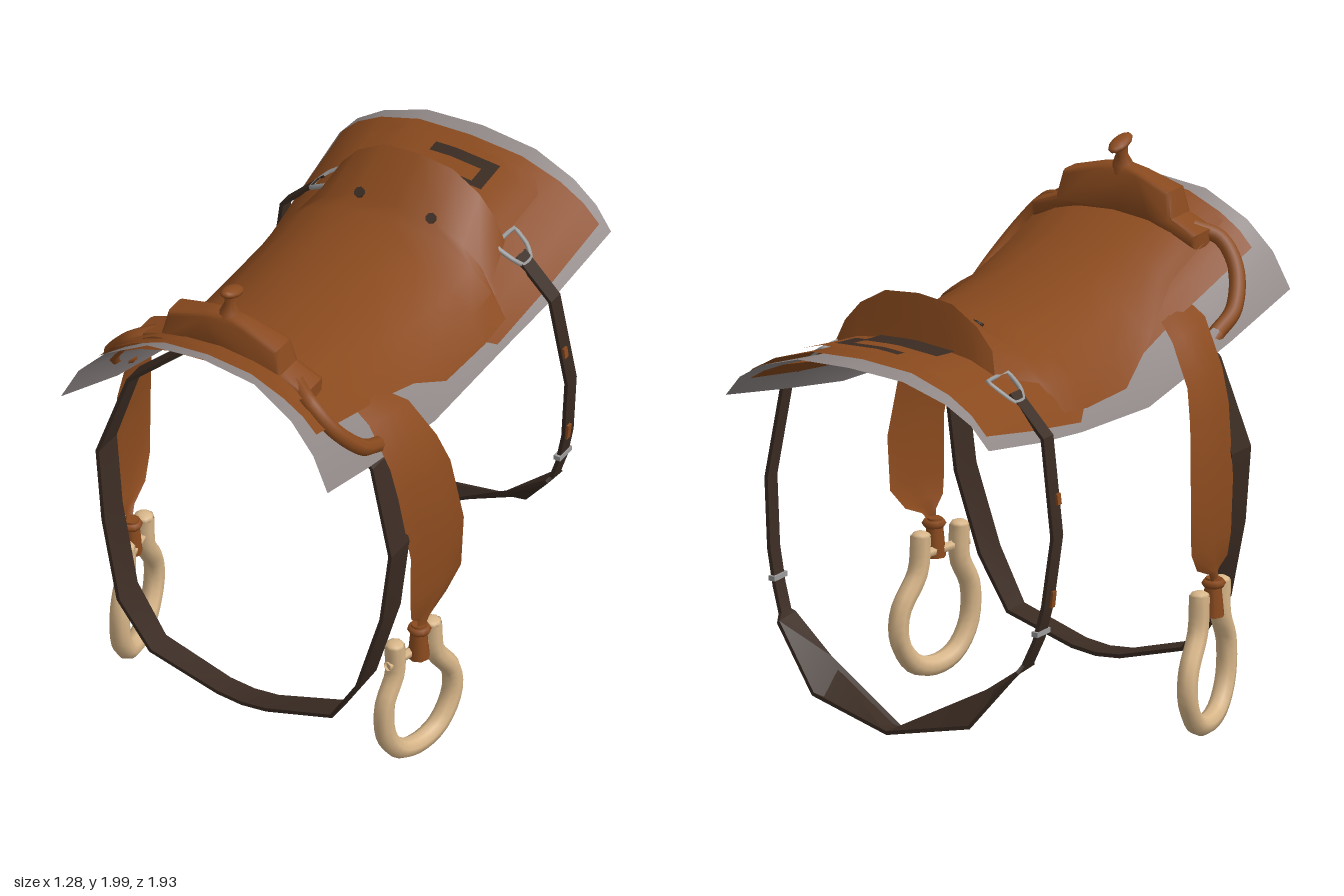
import * as THREE from 'three';
import { toCreasedNormals } from 'three/addons/utils/BufferGeometryUtils.js';

const mat = (name, color) => new THREE.MeshStandardMaterial({ name, color, side: THREE.DoubleSide });

// Surface through a grid of points: fn(i, j) returns [x, y, z]
function grid(nu, nv, fn, crease = 0.7) {
  const pos = [], idx = [];
  for (let j = 0; j <= nv; j++) for (let i = 0; i <= nu; i++) pos.push(...fn(i, j));
  for (let j = 0; j < nv; j++) for (let i = 0; i < nu; i++) {
    const a = j * (nu + 1) + i, b = a + nu + 1;
    idx.push(a, a + 1, b, a + 1, b + 1, b);
  }
  const g = new THREE.BufferGeometry();
  g.setAttribute('position', new THREE.Float32BufferAttribute(pos, 3));
  g.setIndex(idx);
  return toCreasedNormals(g, crease);
}

// Linear lookup in rows sorted by descending first value
function lookup(rows, z) {
  let k = 0;
  while (k < rows.length - 2 && z < rows[k + 1][0]) k++;
  const a = rows[k], b = rows[k + 1];
  const f = THREE.MathUtils.clamp((z - a[0]) / (b[0] - a[0]), 0, 1);
  return a.map((v, i) => v + (b[i] - v) * f);
}

// Arch across the horse's back: [fraction of half width, fraction of drop]
const ARCH = [[1, 1], [0.88, 0.62], [0.7, 0.32], [0.4, 0.06], [0, 0]];
const archDrop = t => lookup(ARCH, Math.min(Math.abs(t), 1))[1];
const ACROSS = [-1, -0.88, -0.7, -0.4, 0, 0.4, 0.7, 0.88, 1];

// Rows: z, half width, ridge height, edge height
const BLANKET = [[0.93, 0.54, 1.81, 1.47], [0.6, 0.51, 1.68, 1.36], [0.13, 0.49, 1.57, 1.25],
  [-0.3, 0.5, 1.555, 1.28], [-0.6, 0.53, 1.57, 1.33], [-0.95, 0.55, 1.615, 1.4]];
const SEAT = [[0.84, 0.34, 1.73, 1.6], [0.5, 0.35, 1.655, 1.5], [0.27, 0.42, 1.62, 1.42],
  [0.05, 0.47, 1.6, 1.345], [-0.2, 0.475, 1.595, 1.345], [-0.34, 0.475, 1.615, 1.36],
  [-0.38, 0.395, 1.645, 1.44], [-0.54, 0.35, 1.77, 1.52], [-0.57, 0.34, 1.6, 1.48]];
// Rows: z, half width
const SKIRT = [[0.87, 0.44], [0.6, 0.42], [0.4, 0.42], [0.13, 0.43], [-0.18, 0.455],
  [-0.26, 0.49], [-0.6, 0.51], [-0.89, 0.52]];

function backY(x, z) {
  const [, w, top, edge] = lookup(BLANKET, z);
  return top - (top - edge) * archDrop(x / w);
}

// Sheet lying on the back at a given offset
const laid = (rows, offset, scale = 1) => grid(8, rows.length - 1, (i, j) => {
  const [z, w] = rows[j], x = ACROSS[i] * w * scale;
  return [x, backY(x, z) + offset, z];
});

const patch = (x0, x1, z0, z1, offset) => grid(6, 4, (i, j) => {
  const x = x0 + (x1 - x0) * i / 6, z = z0 + (z1 - z0) * j / 4;
  return [x, backY(x, z) + offset, z];
});

// Flat strap loop from half points: x, y, z, width, tilt
function strap(half, thick) {
  const pts = [...half, ...half.slice(0, -1).reverse().map(p => [-p[0], ...p.slice(1)])];
  const corners = [[-1, 0], [1, 0], [1, 1], [-1, 1], [-1, 0]];
  return grid(4, pts.length - 1, (i, j) => {
    const [x, y, z, w, tilt = 0] = pts[j];
    const a = pts[Math.max(j - 1, 0)], b = pts[Math.min(j + 1, pts.length - 1)];
    const dx = b[0] - a[0], dy = b[1] - a[1], l = Math.hypot(dx, dy);
    const [s, n] = corners[i];
    return [x + dy / l * n * thick, y - dx / l * n * thick + s * tilt / 2, z + s * w / 2];
  }, 0.4);
}

const tube = (pts, r, n = 24, sides = 8, closed = false) => new THREE.TubeGeometry(
  new THREE.CatmullRomCurve3(pts.map(p => new THREE.Vector3(...p)), closed, 'catmullrom', closed ? 0.2 : 0.5),
  n, r, sides, closed);

// Arched pommel block that narrows toward its top
function pommelGeometry() {
  const half = [[0.15, 1.735], [0.33, 1.67], [0.33, 1.7], [0.23, 1.74], [0.21, 1.83], [0.08, 1.87]];
  const outline = [[0, 1.745], ...half, [0, 1.885], ...half.slice().reverse().map(p => [-p[0], p[1]])];
  const g = new THREE.ExtrudeGeometry(new THREE.Shape(outline.map(p => new THREE.Vector2(...p))), {
    depth: 0.08, bevelThickness: 0.025, bevelSize: 0.015, bevelSegments: 2 }).translate(0, 0, 0.685);
  const p = g.attributes.position;
  for (let i = 0; i < p.count; i++) {
    const k = THREE.MathUtils.clamp((p.getY(i) - 1.8) / 0.1, 0, 1) * 0.5;
    p.setZ(i, THREE.MathUtils.lerp(p.getZ(i), 0.73, k));
  }
  return toCreasedNormals(g, 0.9);
}

export function createModel() {
  const group = new THREE.Group();
  const leather = mat('brown leather', 0x8a4a1e);
  const dark = mat('dark leather', 0x3a2b22);
  const wool = mat('grey blanket', 0x918988);
  const wood = mat('pale wood', 0xd8b689);
  const metal = mat('steel', 0x9b9b9b);
  const add = (name, geometry, material, parent = group) => {
    const m = new THREE.Mesh(geometry, material);
    m.name = name;
    parent.add(m);
    return m;
  };

  // Blanket, skirt and lining
  add('blanket', grid(8, BLANKET.length - 1, (i, j) => {
    const [z, w, top, edge] = BLANKET[j], t = ACROSS[i];
    return [t * w, top - (top - edge) * archDrop(t), z - 0.02 + 0.05 * t * t];
  }), wool);
  add('skirt', laid(SKIRT, 0.018), leather);
  add('lining', laid(SKIRT, -0.012, 0.9), leather);
  add('rearPanel', laid([[-0.5, 0.34], [-0.6, 0.34], [-0.78, 0.34], [-0.83, 0.3]], 0.034), leather);

  // Seat rising into the cantle
  add('seat', grid(8, SEAT.length - 1, (i, j) => {
    const [z, w, top, edge] = SEAT[j], t = ACROSS[i], x = t * w;
    return [x, Math.max(top - (top - edge) * archDrop(t), backY(x, z) + 0.03), z];
  }), leather);
  for (const s of [-1, 1]) {
    const stud = add('seatStud', new THREE.CylinderGeometry(0.02, 0.02, 0.008, 8), dark);
    stud.position.set(s * 0.145, 1.644, -0.385);
    stud.rotation.set(0.65, 0, -s * 0.08);
  }

  // Dark hook-shaped patch above and below the rear panel
  for (const offset of [0.04, -0.02]) {
    add('patchBlock', patch(-0.17, 0.14, -0.68, -0.57, offset), dark);
    add('patchBar', patch(-0.08, 0.18, -0.79, -0.745, offset), dark);
    add('patchHook', patch(0.13, 0.18, -0.745, -0.66, offset), dark);
  }
  add('undersidePatch', patch(-0.2, 0.2, -0.57, -0.42, -0.02), dark);

  // Pommel and horn
  add('pommel', pommelGeometry(), leather);
  const neck = add('hornNeck', new THREE.LatheGeometry([[0.045, 0], [0.035, 0.03], [0.022, 0.06], [0.026, 0.1]]
    .map(p => new THREE.Vector2(...p)), 10), leather);
  neck.position.set(0, 1.87, 0.725);
  neck.rotation.x = -0.15;
  const cap = add('hornCap', new THREE.SphereGeometry(1, 12, 8), leather);
  cap.scale.set(0.033, 0.02, 0.062);
  cap.position.set(0, 1.973, 0.708);
  cap.rotation.x = -0.3;

  // Cinch straps
  add('frontCinch', strap([[0.28, 1.52, 0.53, 0.08], [0.5, 1.32, 0.545, 0.09], [0.6, 1.0, 0.57, 0.12],
    [0.57, 0.72, 0.58, 0.12], [0.49, 0.42, 0.61, 0.12], [0.37, 0.23, 0.6, 0.1],
    [0.1, 0.15, 0.6, 0.09], [0, 0.14, 0.6, 0.09]], 0.014), dark);
  add('rearCinch', strap([[0.41, 1.49, -0.55, 0.06], [0.55, 1.35, -0.55, 0.06], [0.605, 1.0, -0.57, 0.06],
    [0.58, 0.75, -0.59, 0.06], [0.55, 0.62, -0.6, 0.06], [0.515, 0.53, -0.615, 0.06],
    [0.505, 0.51, -0.62, 0.1, 0.01], [0.33, 0.335, -0.655, 0.115, 0.1], [0, 0.2, -0.685, 0.11, -0.02]], 0.014), dark);

  // Hanging parts on each side. Fender rows: y, front z, back z, front x, back x, back edge drop
  const FENDER = [[1.54, 0.54, 0.38, 0.36, 0.38, 0.04], [1.47, 0.55, 0.32, 0.46, 0.48, 0.03],
    [1.3, 0.54, 0.28, 0.54, 0.57, 0], [1.18, 0.535, 0.245, 0.57, 0.605, 0], [0.92, 0.51, 0.205, 0.605, 0.635, 0],
    [0.72, 0.505, 0.215, 0.6, 0.63, 0], [0.64, 0.49, 0.28, 0.595, 0.61, 0],
    [0.6, 0.44, 0.37, 0.59, 0.6, 0], [0.56, 0.44, 0.4, 0.59, 0.59, 0]];
  for (const s of [1, -1]) {
    const side = new THREE.Group();
    side.name = s > 0 ? 'leftSide' : 'rightSide';
    side.scale.x = s;
    group.add(side);

    add('fender', grid(4, FENDER.length - 1, (i, j) => {
      const [y, zf, zb, xf, xb, drop] = FENDER[j], f = i / 4;
      return [xf + (xb - xf) * f + 0.012 * Math.sin(f * Math.PI), y - drop * f, zf + (zb - zf) * f];
    }), leather, side);
    add('pommelLoop', tube([[0.28, 1.71, 0.74], [0.37, 1.67, 0.785], [0.45, 1.575, 0.76],
      [0.5, 1.47, 0.67], [0.5, 1.41, 0.56]], 0.03), leather, side);

    // Stirrup with its hanger
    const stirrup = [[0.52, 0.53], [0.52, 0.41], [0.57, 0.3], [0.565, 0.17], [0.5, 0.075], [0.4, 0.045],
      [0.3, 0.075], [0.235, 0.17], [0.24, 0.28], [0.32, 0.4], [0.335, 0.53]]
      .map(([z, y]) => [0.57 - (z - 0.4) * 0.2, y, z]);
    add('stirrup', tube(stirrup, 0.037, 36), wood, side);
    for (const p of [stirrup[0], stirrup[10]])
      add('stirrupEnd', new THREE.SphereGeometry(0.036, 8, 6).scale(1, 0.5, 1), wood, side).position.set(...p);
    add('stirrupBar', tube([[0.54, 0.46, 0.56], [0.565, 0.46, 0.43], [0.585, 0.46, 0.31]], 0.018, 4, 6), wood, side);
    add('hanger', new THREE.CylinderGeometry(0.027, 0.04, 0.14, 8), leather, side).position.set(0.582, 0.505, 0.42);
    const knot = add('hangerKnot', new THREE.TorusGeometry(0.028, 0.015, 6, 10), leather, side);
    knot.position.set(0.585, 0.555, 0.42);
    knot.rotation.x = Math.PI / 2;

    // Rigging ring, buckle and worn spots on the rear strap
    add('riggingRing', tube([[0.34, 1.53, -0.615], [0.4, 1.49, -0.605], [0.43, 1.46, -0.58], [0.43, 1.46, -0.53],
      [0.4, 1.49, -0.505], [0.34, 1.53, -0.495]], 0.009, 24, 6, true), metal, side);
    const buckle = add('buckle', new THREE.BoxGeometry(0.026, 0.018, 0.08), metal, side);
    buckle.position.set(0.55, 0.65, -0.597);
    for (const [x, y, z, h, lean] of [[0.59, 1.13, -0.548, 0.04, 0.13], [0.586, 0.77, -0.575, 0.06, -0.12]]) {
      const spot = add('strapSpot', new THREE.BoxGeometry(0.009, h, 0.022), leather, side);
      spot.position.set(x, y, z);
      spot.rotation.z = lean;
    }
  }
  return group;
}
